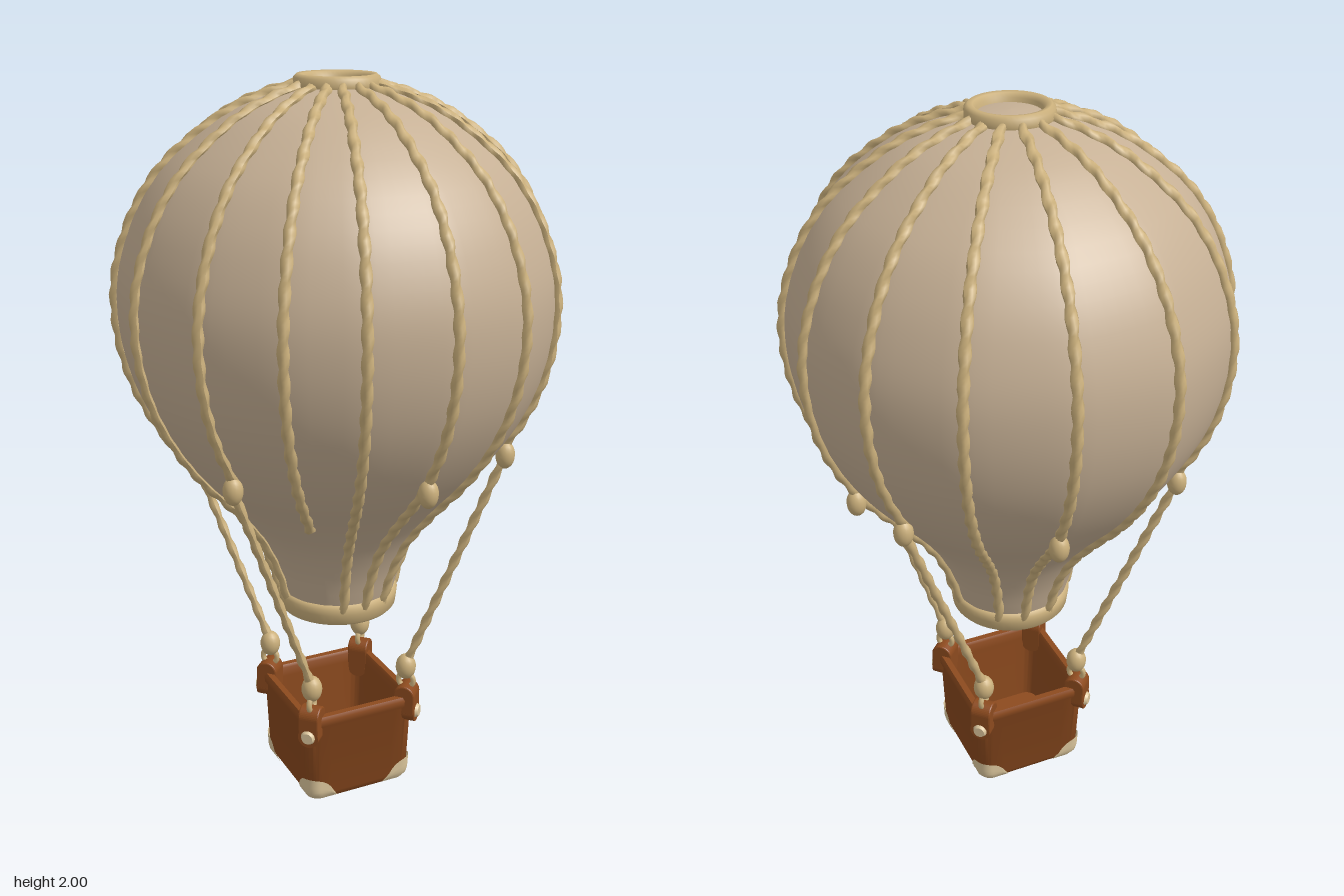
import * as THREE from 'three';
import { toCreasedNormals } from 'three/addons/utils/BufferGeometryUtils.js';

const mat = (name, color) => new THREE.MeshStandardMaterial({ name, color });
const V = (x, y, z) => new THREE.Vector3(x, y, z);
const DEG = Math.PI / 180;

// envelope profile: [radius, height]
const PROFILE = [[0.15, 0.57], [0.165, 0.62], [0.19, 0.7], [0.24, 0.8], [0.32, 0.9], [0.41, 1.0], [0.48, 1.1],
  [0.53, 1.2], [0.56, 1.3], [0.573, 1.4], [0.569, 1.5], [0.543, 1.6], [0.497, 1.7], [0.42, 1.8], [0.29, 1.9], [0.18, 1.95], [0.09, 1.975]];
const profileCurve = new THREE.SplineCurve(PROFILE.map(([r, y]) => new THREE.Vector2(r, y)));

// meridian rope angles, measured from +x towards +z
const ROPES = [-81, -55.5, -31, -7.4, 16.4, 41.5, 63.7, 86.5, 108.7, 127.6, 149.2, 173.5, 197.5, 222.2, 251.4];
const HANGING = { 41.5: [1, 1], '-31': [1, -1], 149.2: [-1, 1], 222.2: [-1, -1] };
const EXTRA_KNOTS = [86.5, -81, -7.4];

function mesh(name, geometry, material, parent) {
  const m = new THREE.Mesh(geometry, material);
  m.name = name;
  parent.add(m);
  return m;
}

const lathe = (pts, segs) => new THREE.LatheGeometry(pts.map(([r, y]) => new THREE.Vector2(r, y)), segs);

// fabric is pulled slightly flat between neighbouring ropes
function envelopeGeometry() {
  const g = new THREE.LatheGeometry(profileCurve.getPoints(48), 90);
  const p = g.attributes.position;
  for (let i = 0; i < p.count; i++) {
    const x = p.getX(i), z = p.getZ(i);
    let a = Math.atan2(z, x) / DEG;
    if (a < ROPES[0]) a += 360;
    const k = ROPES.findLastIndex((r) => r <= a + 1e-6);
    const lo = ROPES[Math.max(k, 0)], hi = k === ROPES.length - 1 ? ROPES[0] + 360 : ROPES[k + 1];
    const chord = Math.cos((hi - lo) / 2 * DEG) / Math.cos((a - (lo + hi) / 2) * DEG);
    const f = 0.5 + 0.5 * chord;
    p.setX(i, x * f);
    p.setZ(i, z * f);
  }
  g.deleteAttribute('normal');
  return toCreasedNormals(g, Math.PI / 3);
}

// two-strand twisted rope along a path
function ropeGeometry(path, radius) {
  const n = Math.round(path.getLength() / 0.013), sides = 8;
  const g = new THREE.TubeGeometry(path, n, radius, sides, false);
  const p = g.attributes.position, v = V(0, 0, 0);
  for (let i = 0; i <= n; i++) {
    const c = path.getPointAt(i / n);
    for (let j = 0; j <= sides; j++) {
      const id = i * (sides + 1) + j;
      const s = 1 + 0.22 * Math.cos(4 * Math.PI * j / sides + i * 1.2);
      v.fromBufferAttribute(p, id).sub(c).multiplyScalar(s).add(c);
      p.setXYZ(id, v.x, v.y, v.z);
    }
  }
  g.computeVertexNormals();
  return g;
}

function knot(name, pos, r, h, material, parent) {
  const k = mesh(name, new THREE.SphereGeometry(1, 16, 12), material, parent);
  k.scale.set(r, h, r);
  k.position.copy(pos);
}

// point on a rounded square, t from 0 to 1 going round once
function squarePoint(t, half, cornerR) {
  const r = Math.min(cornerR, half), q = Math.floor(t * 4) % 4, f = t * 4 - Math.floor(t * 4);
  const s = half - r, arc = THREE.MathUtils.clamp((f - 0.2) / 0.6, 0, 1) * Math.PI / 2;
  let x = s + r * Math.cos(arc), z = s + r * Math.sin(arc);
  if (f < 0.2) z = s * f / 0.2;
  if (f > 0.8) x = s * (1 - f) / 0.2;
  for (let i = 0; i < q; i++) [x, z] = [-z, x];
  return [x, z];
}

// loft of rounded squares through a [half width, height] profile
function basketGeometry(profile) {
  const n = 80, rows = profile.length - 1;
  const g = new THREE.PlaneGeometry(1, 1, n, rows);
  for (let j = 0; j <= rows; j++) {
    const [half, y] = profile[rows - j];
    for (let i = 0; i <= n; i++) {
      const [x, z] = squarePoint(1 - (i % n) / n, half, 0.035);
      g.attributes.position.setXYZ(j * (n + 1) + i, x, y, z);
    }
  }
  g.deleteAttribute('normal');
  g.deleteAttribute('uv');
  return toCreasedNormals(g, 40 * DEG);
}

// half-round patch wrapped round the (+x,+z) bottom corner
function patchGeometry() {
  const n = 24, g = new THREE.PlaneGeometry(1, 1, n, 5);
  const p = g.attributes.position;
  for (let i = 0; i < p.count; i++) {
    const u = p.getX(i) * 2, v = p.getY(i) + 0.5;
    const y = 0.012 + v * 0.07 * Math.sqrt(Math.max(0, 1 - u * u));
    const half = (y < 0.03 ? 0.146 + (y - 0.008) * 0.6 : 0.159 + (y - 0.03) * 0.04) + 0.004;
    // walk 0.062 each way from the corner along the wall
    const r = 0.035, quarter = r * Math.PI / 4, d = -u * 0.072, a = Math.abs(d);
    const arc = Math.PI / 4 + Math.sign(d) * Math.min(a, quarter) / r;
    const extra = Math.max(0, a - quarter);
    let x = half - r + r * Math.cos(arc), z = half - r + r * Math.sin(arc);
    if (d > 0) x -= extra; else z -= extra;
    p.setXYZ(i, x, y, z);
  }
  g.computeVertexNormals();
  return g;
}

export function createModel() {
  const fabric = mat('fabric', 0xc6b095);
  const rope = mat('rope', 0xcbb07c);
  const leather = mat('leather', 0x8c4a1e);
  const cream = mat('cream', 0xdcc69c);
  cream.side = THREE.DoubleSide;
  const model = new THREE.Group();
  model.name = 'hotAirBalloon';

  // envelope with crown ring and skirt ring
  mesh('envelope', envelopeGeometry(), fabric, model);
  mesh('crownDisc', lathe([[0.09, 1.975], [0.05, 1.983], [0, 1.985]], 40), fabric, model);
  mesh('crownRing', lathe([[0.1, 1.95], [0.109, 1.96], [0.112, 1.975], [0.109, 1.992], [0.1, 2], [0.088, 1.998], [0.08, 1.988], [0.076, 1.965]], 48), rope, model);
  mesh('skirtRing', toCreasedNormals(lathe([[0, 0.6], [0.08, 0.596], [0.125, 0.585], [0.13, 0.56], [0.138, 0.55], [0.158, 0.548],
    [0.165, 0.556], [0.168, 0.58], [0.17, 0.598], [0.162, 0.608], [0.14, 0.61]], 48), 50 * DEG), rope, model);

  // meridian ropes, four of which leave the fabric and hang to the basket
  const ropes = new THREE.Group();
  ropes.name = 'ropes';
  model.add(ropes);
  for (const deg of ROPES) {
    const c = Math.cos(deg * DEG), s = Math.sin(deg * DEG), corner = HANGING[deg];
    const onFabric = (t) => {
      const q = profileCurve.getPoint(t);
      return V((q.x + 0.002) * c, q.y, (q.x + 0.002) * s);
    };
    const start = corner ? 0.343 : deg === 127.6 ? 0.25 : 0.03;
    const pts = Array.from({ length: 33 }, (_, i) => onFabric(start + (0.99 - start) * i / 32));
    mesh('meridianRope', ropeGeometry(new THREE.CatmullRomCurve3(pts), 0.0135), rope, ropes);
    const knotPos = V(0.462 * c, 1.035, 0.462 * s);
    if (corner) {
      const end = V(corner[0] * 0.147, 0.38, corner[1] * 0.147);
      mesh('hangingRope', ropeGeometry(new THREE.LineCurve3(end, knotPos), 0.0115), rope, ropes);
      knot('lowerKnot', end.clone().setY(0.372), 0.029, 0.038, rope, ropes);
    }
    if (corner || EXTRA_KNOTS.includes(deg)) knot('upperKnot', knotPos, 0.026, 0.038, rope, ropes);
  }

  // basket: floor, walls, rolled rim and hollow inside
  const basket = new THREE.Group();
  basket.name = 'basket';
  model.add(basket);
  mesh('basketBody', basketGeometry([[0, 0], [0.136, 0], [0.146, 0.008], [0.159, 0.03], [0.167, 0.25], [0.173, 0.258], [0.174, 0.276],
    [0.169, 0.286], [0.152, 0.286], [0.147, 0.278], [0.147, 0.25], [0.14, 0.03], [0, 0.03]]), leather, basket);

  // each corner: strap over the rim, stud, rope loop and bottom patch
  const strap = new THREE.Shape();
  strap.moveTo(0.184, 0.235);
  strap.lineTo(0.238, 0.235);
  strap.lineTo(0.238, 0.288);
  strap.absarc(0.211, 0.288, 0.027, 0, Math.PI, false);
  strap.closePath();
  const strapGeo = new THREE.ExtrudeGeometry(strap, { depth: 0.052, bevelEnabled: true, bevelSize: 0.004, bevelThickness: 0.004, bevelSegments: 2, curveSegments: 10 });
  strapGeo.translate(0, 0, -0.026);
  const patchGeo = patchGeometry();
  for (let i = 0; i < 4; i++) {
    const g = new THREE.Group();
    g.name = 'basketCorner';
    g.rotation.y = i * Math.PI / 2 + Math.PI / 4;
    basket.add(g);
    mesh('strap', strapGeo, leather, g);
    const tab = mesh('strapEnd', new THREE.CylinderGeometry(0.03, 0.03, 0.06, 24), leather, g);
    tab.rotation.z = Math.PI / 2;
    tab.position.set(0.212, 0.233, 0);
    const stud = mesh('stud', new THREE.CylinderGeometry(0.016, 0.021, 0.009, 20), cream, g);
    stud.rotation.z = -Math.PI / 2;
    stud.position.set(0.246, 0.235, 0);
    const loop = mesh('ropeLoop', new THREE.TorusGeometry(0.022, 0.008, 8, 20), rope, g);
    loop.position.set(0.209, 0.328, 0);
    const patch = mesh('cornerPatch', patchGeo, cream, g);
    patch.rotation.y = Math.PI / 4;
  }
  return model;
}
